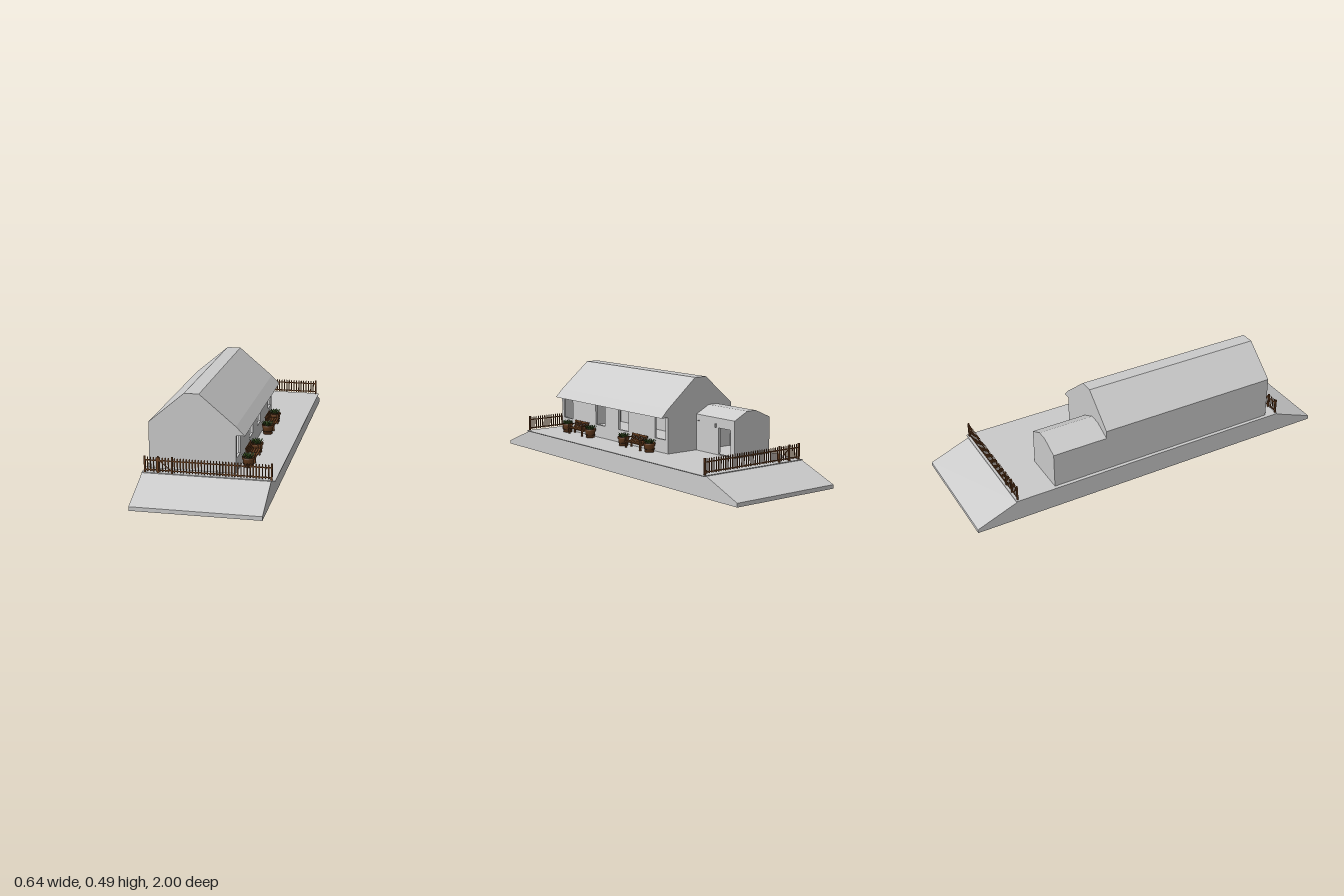
import * as THREE from 'three';

const grey = new THREE.MeshStandardMaterial({ color: 0xcccccc, side: THREE.DoubleSide });
const wood = new THREE.MeshStandardMaterial({ color: 0x6b4020 });
const soil = new THREE.MeshStandardMaterial({ color: 0x3a2817 });
const leaf = new THREE.MeshStandardMaterial({ color: 0x3b5a22, side: THREE.DoubleSide });
const GROUND = 0.111;

function add(parent, name, geometry, material, x = 0, y = 0, z = 0) {
  const mesh = new THREE.Mesh(geometry, material);
  mesh.name = name;
  mesh.position.set(x, y, z);
  parent.add(mesh);
  return mesh;
}

// box given by its min and max corners
function span(parent, name, material, [x0, y0, z0], [x1, y1, z1]) {
  return add(parent, name, new THREE.BoxGeometry(x1 - x0, y1 - y0, z1 - z0), material,
    (x0 + x1) / 2, (y0 + y1) / 2, (z0 + z1) / 2);
}

const shapeOf = (pts) => new THREE.Shape(pts.map((p) => new THREE.Vector2(...p)));
const extrude = (shape, depth) => new THREE.ExtrudeGeometry(shape, { depth, bevelEnabled: false });
// profile in (z, y), pushed from x = 0 towards -x
const extrudeSide = (shape, depth) => extrude(shape, depth).rotateY(-Math.PI / 2);

// side wall with openings [z0, z1, y0, y1]
function sideWall(parent, name, x, z0, z1, top, openings) {
  const shape = shapeOf([[z0, GROUND], [z1, GROUND], [z1, top], [z0, top]]);
  for (const [a, b, c, d] of openings) {
    shape.holes.push(new THREE.Path([[a, c], [a, d], [b, d], [b, c]].map((p) => new THREE.Vector2(...p))));
  }
  add(parent, name, extrudeSide(shape, 0.012), grey, x, 0, 0);
}

// hollow building: roof and back wall as one section, two gables, and a pierced wall
function building(name, outer, inner, wallX, wallTop, z0, z1, openings) {
  const g = new THREE.Group();
  g.name = name;
  add(g, 'roofAndBackWall', extrude(shapeOf([...outer, ...inner]), z1 - z0 - 0.02), grey, 0, 0, z0 + 0.01);
  const gable = extrude(shapeOf([...outer, [wallX, GROUND]]), 0.01);
  add(g, 'rearGable', gable, grey, 0, 0, z0);
  add(g, 'frontGable', gable, grey, 0, 0, z1 - 0.01);
  sideWall(g, 'piercedWall', wallX, z0 + 0.01, z1 - 0.01, wallTop, openings);
  return g;
}

function fence(z) {
  const g = new THREE.Group();
  g.name = 'picketFence';
  const posts = [-0.307, -0.242, -0.174, 0.304];
  for (const x of posts) span(g, 'post', wood, [x - 0.004, GROUND, -0.004], [x + 0.004, 0.192, 0.004]);
  for (const y of [0.124, 0.172]) {
    span(g, 'rail', wood, [-0.307, y - 0.003, -0.002], [-0.242, y + 0.003, 0.001]);
    span(g, 'gateRail', wood, [-0.236, y - 0.003, -0.002], [-0.18, y + 0.003, 0.001]);
    span(g, 'rail', wood, [-0.174, y - 0.003, -0.002], [0.304, y + 0.003, 0.001]);
  }
  // pickets with pointed tops
  const w = 0.003;
  const picket = extrude(shapeOf([[-w, 0.117], [w, 0.117], [w, 0.186], [0, 0.19], [-w, 0.186]]), 0.002);
  for (let i = 1; i < 42; i++) {
    const x = -0.307 + i * 0.01455;
    if (posts.every((p) => Math.abs(p - x) > 0.006)) add(g, 'picket', picket, wood, x, 0, 0.001);
  }
  const brace = add(g, 'gateBrace', new THREE.BoxGeometry(0.068, 0.004, 0.002), wood, -0.208, 0.148, -0.002);
  brace.rotation.z = -0.71;
  g.position.z = z;
  return g;
}

function bench(z) {
  const g = new THREE.Group();
  g.name = 'bench';
  for (const s of [-1, 1]) {
    const e = s * 0.063;
    span(g, 'frontLeg', wood, [0.178, GROUND, e - 0.004], [0.186, 0.163, e + 0.004]);
    span(g, 'backLeg', wood, [0.14, GROUND, e - 0.004], [0.148, 0.15, e + 0.004]);
    span(g, 'armRest', wood, [0.136, 0.163, e - 0.005], [0.189, 0.167, e + 0.005]);
    span(g, 'sideRail', wood, [0.142, 0.136, e - 0.003], [0.184, 0.142, e + 0.003]);
  }
  for (let i = 0; i < 4; i++) {
    const x = 0.142 + i * 0.0125;
    span(g, 'seatSlat', wood, [x, 0.142, -0.067], [x + 0.01, 0.146, 0.067]);
  }
  // leaning back rest
  const back = new THREE.Group();
  back.name = 'backRest';
  span(back, 'topRail', wood, [-0.002, 0.033, -0.067], [0.003, 0.041, 0.067]);
  span(back, 'lowerRail', wood, [-0.002, 0.004, -0.067], [0.003, 0.009, 0.067]);
  for (let i = 0; i < 10; i++) {
    const c = -0.063 + i * 0.014;
    span(back, 'backSlat', wood, [-0.002, 0, c - 0.0035], [0.002, 0.036, c + 0.0035]);
  }
  back.position.set(0.144, 0.144, 0);
  back.rotation.z = 0.2;
  g.add(back);
  g.position.z = z;
  return g;
}

function planter(z) {
  const g = new THREE.Group();
  g.name = 'planter';
  const profile = [[0, 0], [0.024, 0], [0.029, 0.04], [0.032, 0.04], [0.032, 0.048], [0.027, 0.048], [0.027, 0.042]];
  const tub = new THREE.LatheGeometry(profile.map((p) => new THREE.Vector2(...p)), 16);
  add(g, 'tub', tub, wood);
  add(g, 'hoop', new THREE.TorusGeometry(0.0265, 0.0015, 4, 16).rotateX(Math.PI / 2), soil, 0, 0.016, 0);
  add(g, 'soil', new THREE.CircleGeometry(0.028, 16).rotateX(-Math.PI / 2), soil, 0, 0.043, 0);
  // rings of leaves fanning outwards
  const blade = new THREE.BufferGeometry().setFromPoints(
    [[0, 0, 0], [0.006, 0.014, 0], [0, 0.026, 0.002], [0, 0, 0], [0, 0.026, 0.002], [-0.006, 0.014, 0]]
      .map((p) => new THREE.Vector3(...p)));
  blade.computeVertexNormals();
  for (let i = 0; i < 24; i++) {
    const a = i * 2.4, r = 0.023 * Math.sqrt(i / 24);
    const m = add(g, 'leaf', blade, leaf, r * Math.sin(a), 0.043, r * Math.cos(a));
    m.rotation.set(0.15 + r * 18, a, 0, 'YXZ');
  }
  g.position.set(0.16, GROUND, z);
  return g;
}

export function createModel() {
  const model = new THREE.Group();
  model.name = 'stationPlatform';

  // platform with ramps at both ends and a paved top
  const ramp = shapeOf([[-1, 0], [1, 0], [1, 0.02], [0.775, 0.107], [-0.785, 0.107], [-1, 0.02]]);
  add(model, 'platformBase', extrudeSide(ramp, 0.624), grey, 0.302, 0, 0);
  span(model, 'paving', grey, [-0.322, 0.107, -0.788], [0.322, GROUND, 0.776]);

  // main hall with a deep eave over the platform
  const windows = [0.645, 0.325, 0.11, -0.21].map((z) => [z - 0.045, z + 0.045, 0.18, 0.295]);
  model.add(building('mainHall',
    [[-0.303, GROUND], [-0.303, 0.342], [-0.127, 0.491], [-0.055, 0.491], [0.122, 0.342], [0.165, 0.298], [0.122, 0.298]],
    [[0.11, 0.298], [0.11, 0.336], [-0.059, 0.479], [-0.123, 0.479], [-0.291, 0.336], [-0.291, GROUND]],
    0.122, 0.298, -0.275, 0.71, windows));

  // lower annex behind the hall
  model.add(building('annex',
    [[-0.303, GROUND], [-0.303, 0.3], [-0.207, 0.342], [-0.148, 0.342], [-0.065, 0.3]],
    [[-0.077, 0.3], [-0.151, 0.332], [-0.204, 0.332], [-0.291, 0.294], [-0.291, GROUND]],
    -0.065, 0.3, -0.57, -0.275, [[-0.54, -0.45, 0.115, 0.25]]));
  span(model, 'wallLamp', grey, [-0.065, 0.25, -0.434], [-0.055, 0.27, -0.428]);
  span(model, 'wallHook', grey, [-0.065, 0.266, -0.299], [-0.057, 0.271, -0.294]);

  for (const z of [0.772, -0.777]) model.add(fence(z));
  for (const z of [0.483, -0.056]) model.add(bench(z));
  for (const z of [0.597, 0.37, 0.058, -0.168]) model.add(planter(z));
  return model;
}
